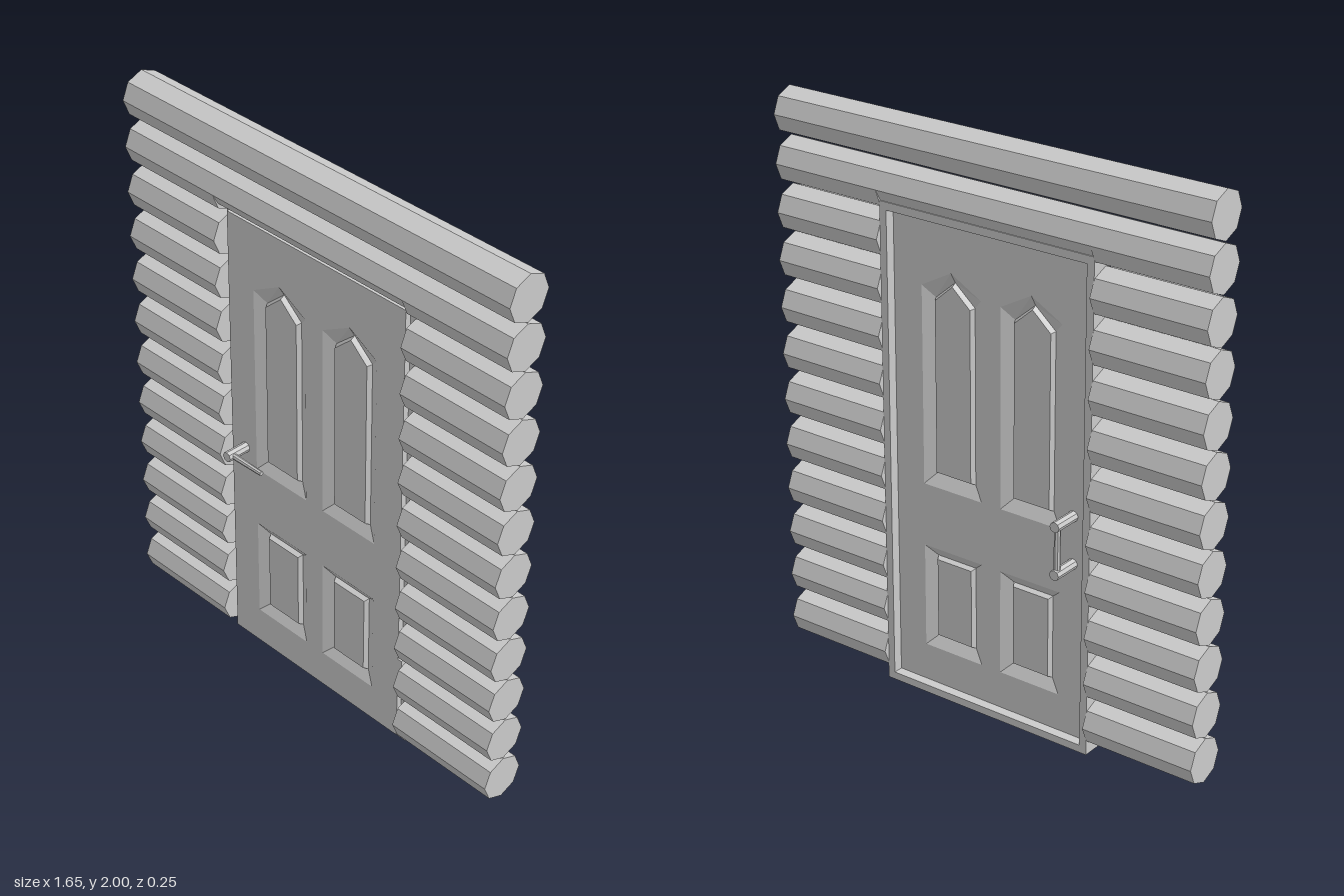
import * as THREE from 'three';

const material = new THREE.MeshStandardMaterial({ color: 0xcccccc, flatShading: true });

function add(parent, name, geometry, x = 0, y = 0, z = 0) {
  const mesh = new THREE.Mesh(geometry, material);
  mesh.name = name;
  mesh.position.set(x, y, z);
  parent.add(mesh);
  return mesh;
}

const rectangle = (x0, y0, x1, y1) => [[x0, y0], [x1, y0], [x1, y1], [x0, y1]];
const vectors = (points) => points.map(([x, y]) => new THREE.Vector2(x, y));

// flat slab with openings, its back at z0 and its front at z1
function slab(outline, openings, z0, z1) {
  const shape = new THREE.Shape(vectors(outline));
  openings.forEach((o) => shape.holes.push(new THREE.Path(vectors(o))));
  return new THREE.ExtrudeGeometry(shape, { depth: z1 - z0, bevelEnabled: false }).translate(0, 0, z0);
}

// counter-clockwise panel outline centred on x = 0, with a gable if peak > shoulder
function panelOutline(half, bottom, shoulder, peak) {
  const points = [[-half, bottom], [half, bottom], [half, shoulder]];
  if (peak > shoulder) points.push([0, peak]);
  points.push([-half, shoulder]);
  return points;
}

// nested loops joined by sloping strips, the last loop filled
function panelGeometry(loops) {
  const positions = [];
  const put = (...corners) => corners.forEach((c) => positions.push(...c));
  const n = loops[0].length;
  for (let k = 0; k < loops.length - 1; k++) {
    for (let i = 0; i < n; i++) {
      const j = (i + 1) % n;
      const a = loops[k][i], b = loops[k][j], c = loops[k + 1][j], d = loops[k + 1][i];
      put(a, b, c, a, c, d);
    }
  }
  const field = loops[loops.length - 1];
  for (let i = 1; i < n - 1; i++) put(field[0], field[i], field[i + 1]);
  const geometry = new THREE.BufferGeometry();
  geometry.setAttribute('position', new THREE.Float32BufferAttribute(positions, 3));
  geometry.computeVertexNormals();
  return geometry;
}

// eight-sided log along x with a corner on top
function logGeometry(length) {
  return new THREE.CylinderGeometry(0.08, 0.08, length, 8).rotateZ(Math.PI / 2);
}

function buildWall() {
  const wall = new THREE.Group();
  wall.name = 'logWall';
  const pitch = 0.1648, end = 0.825, opening = 0.41;
  for (let i = 0; i < 12; i++) {
    const y = 0.107 + i * pitch;
    if (i === 11) {
      add(wall, 'topLog', logGeometry(end * 2), 0, y);
      continue;
    }
    for (const side of [-1, 1]) {
      add(wall, 'sideLog', logGeometry(end - opening), side * (end + opening) / 2, y);
    }
    if (i === 10) {
      // lintel log cut flat where it sits on the door frame
      const lintel = logGeometry(opening * 2);
      const p = lintel.attributes.position;
      for (let v = 0; v < p.count; v++) p.setY(v, Math.max(p.getY(v), 1.715 - y));
      lintel.computeVertexNormals();
      add(wall, 'lintelLog', lintel, 0, y);
    }
  }
  return wall;
}

function buildDoor() {
  const door = new THREE.Group();
  door.name = 'door';
  const front = 0.04, back = -0.025;

  add(door, 'doorFrame', slab(rectangle(-0.412, 0, 0.412, 1.715),
    [rectangle(-0.385, 0.027, 0.385, 1.688)], -0.06, 0.02));

  // outer edge, foot of the bevel and raised field of each panel kind
  const kinds = [
    { name: 'upperPanel', rings: [[0.118, 0.76, 1.455, 1.52], [0.078, 0.803, 1.415, 1.482], [0.07, 0.811, 1.41, 1.472]] },
    { name: 'lowerPanel', rings: [[0.118, 0.16, 0.535, 0], [0.078, 0.2, 0.5, 0], [0.07, 0.208, 0.492, 0]] },
  ];
  const depths = [0, -0.022, -0.006];
  const openings = [];
  for (const { name, rings } of kinds) {
    const outlines = rings.map((r) => panelOutline(...r));
    const geometry = panelGeometry(outlines.map((o, k) => o.map(([x, y]) => [x, y, depths[k]])));
    for (const x of [-0.156, 0.156]) {
      openings.push(outlines[0].map(([px, py]) => [px + x, py]));
      add(door, name + 'Front', geometry, x, 0, front);
      add(door, name + 'Back', geometry, x, 0, back).rotation.y = Math.PI;
    }
  }
  add(door, 'doorLeaf', slab(rectangle(-0.39, 0.024, 0.39, 1.692), openings, back, front));

  // hinges on the model's left edge
  for (const y of [0.315, 1.412]) {
    add(door, 'hinge', new THREE.BoxGeometry(0.018, 0.082, 0.025), 0.4, y, 0.03);
  }
  return door;
}

function buildHandles() {
  const handles = new THREE.Group();
  handles.name = 'handles';
  const x = -0.325, y = 0.823;
  const post = (z0, z1) => new THREE.CylinderGeometry(0.018, 0.018, z1 - z0, 8)
    .rotateX(Math.PI / 2).translate(0, 0, (z0 + z1) / 2);

  // front lever
  add(handles, 'leverPost', post(0.035, 0.125), x, y);
  add(handles, 'lever', new THREE.CylinderGeometry(0.008, 0.011, 0.145, 8)
    .rotateZ(-Math.PI / 2), x + 0.0725, y, 0.104);

  // back pull bar on two posts
  const low = 0.655;
  for (const py of [y, low]) add(handles, 'pullPost', post(-0.127, -0.02), x, py);
  add(handles, 'pullBar', new THREE.CylinderGeometry(0.011, 0.011, y - low, 8), x, (y + low) / 2, -0.11);
  return handles;
}

export function createModel() {
  const model = new THREE.Group();
  model.name = 'logWallWithDoor';
  model.add(buildWall(), buildDoor(), buildHandles());
  return model;
}
